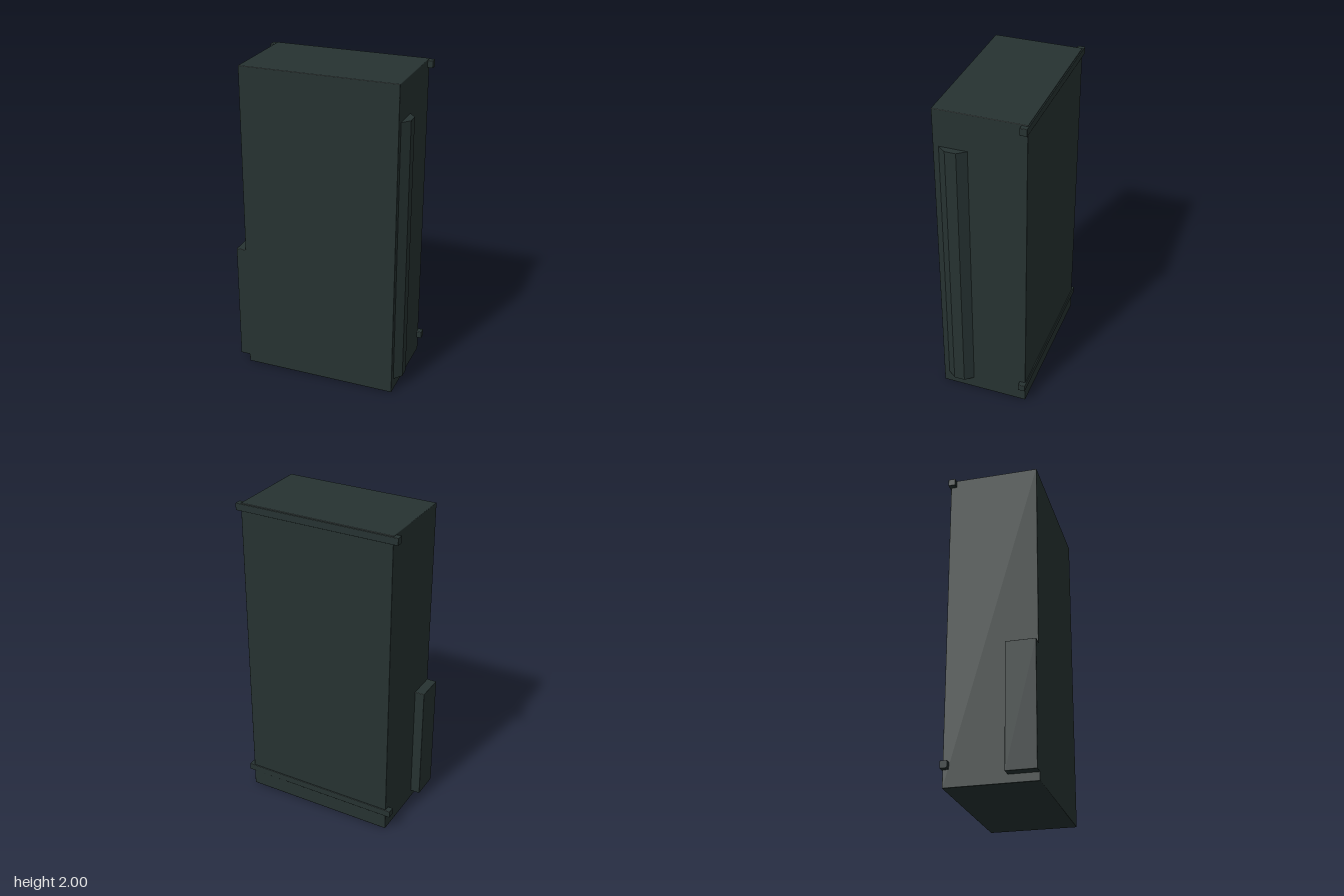
import * as THREE from 'three';
import { RoundedBoxGeometry } from 'three/addons/geometries/RoundedBoxGeometry.js';

export function createModel() {
  const model = new THREE.Group();
  model.name = 'cabinet';
  const darkMetal = new THREE.MeshStandardMaterial({ color: 0x263231 });
  darkMetal.name = 'darkMetal';

  const add = (name, geometry) => {
    const mesh = new THREE.Mesh(geometry, darkMetal);
    mesh.name = name;
    model.add(mesh);
    return mesh;
  };

  // Box given by its lower and upper corners, with a slight edge bevel
  const addBox = (name, [x0, y0, z0], [x1, y1, z1], bevel) => {
    const geometry = new RoundedBoxGeometry(x1 - x0, y1 - y0, z1 - z0, 1, bevel);
    add(name, geometry).position.set((x0 + x1) / 2, (y0 + y1) / 2, (z0 + z1) / 2);
  };

  // Main cabinet
  addBox('cabinetBody', [-0.48, 0, -0.274], [0.498, 2, 0.277], 0.004);

  // Side box on the right, flush with the front
  addBox('sideBox', [-0.541, 0.05, 0.096], [-0.47, 0.815, 0.277], 0.003);

  // Mounting rails across the back
  for (const [name, y] of [['lowerRail', 0.105], ['upperRail', 1.951]]) {
    addBox(name, [-0.512, y, -0.281], [0.53, y + 0.044, -0.237], 0.002);
  }

  // Chamfered vertical duct on the left; shape y becomes -z
  const profile = new THREE.Shape([
    [0.49, -0.242], [0.498, -0.242], [0.54, -0.19],
    [0.54, -0.123], [0.498, -0.072], [0.49, -0.072],
  ].map(([x, y]) => new THREE.Vector2(x, y)));
  const duct = new THREE.ExtrudeGeometry(profile, { depth: 1.69, bevelEnabled: false });
  duct.rotateX(-Math.PI / 2);
  duct.translate(0, 0.08, 0);
  add('sideDuct', duct);

  return model;
}
